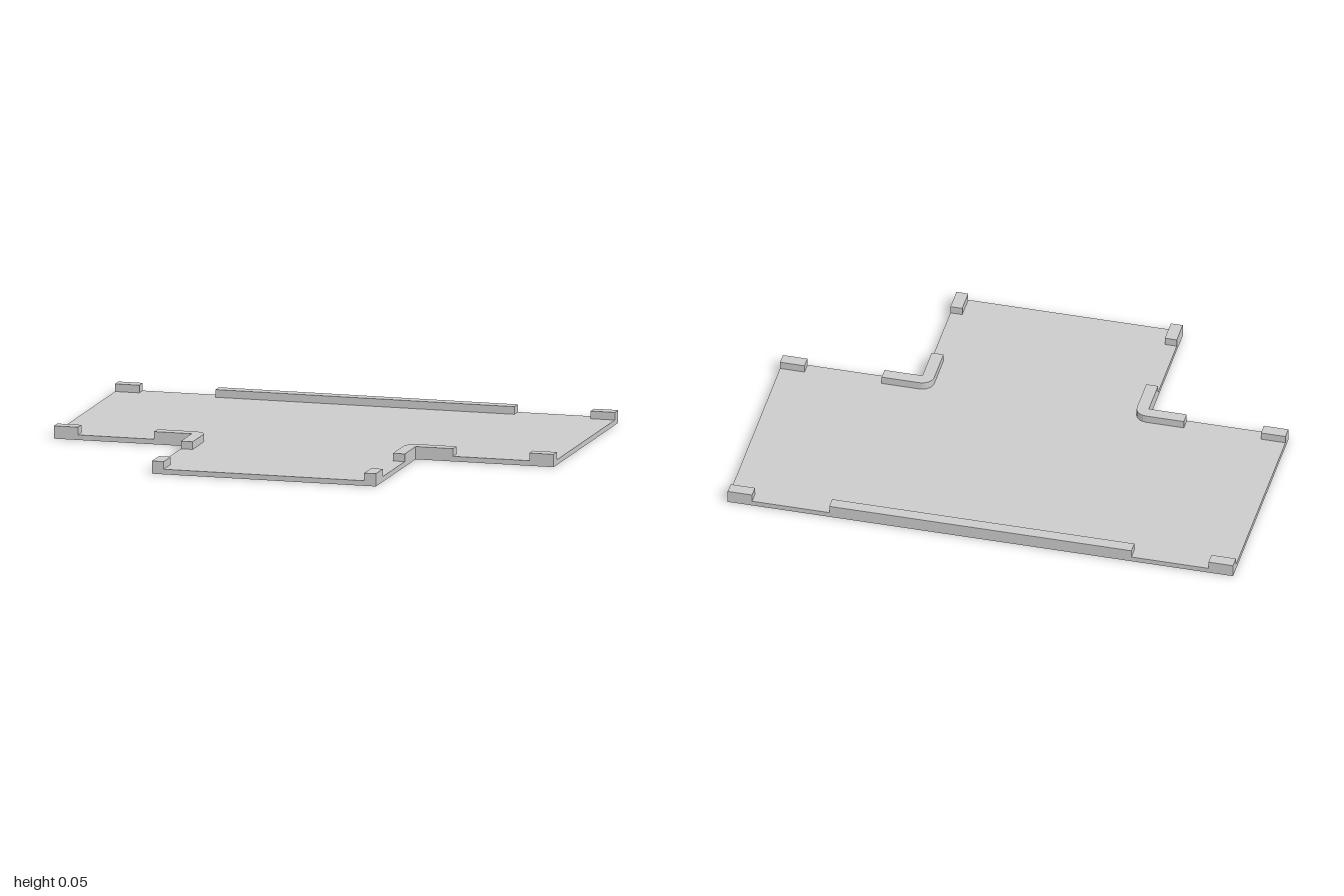
import * as THREE from 'three';

const T = 0.02, H = 0.05;        // plate thickness, rim height
const BACK = -0.723, FRONT = 0.723, STEP = 0.173; // depth limits and inner step
const STEM = 0.448;              // half width of the front arm
const W = 0.047, BLOCK = 0.097, LEG = 0.15; // rim width, end block and corner leg lengths

export function createModel() {
  const group = new THREE.Group();
  const material = new THREE.MeshStandardMaterial({ color: 0xcccccc, flatShading: true });

  const add = (name, geometry) => {
    const mesh = new THREE.Mesh(geometry, material);
    mesh.name = name;
    group.add(mesh);
  };

  // Extrudes an outline of [x, z] points between two heights
  const slab = (name, points, y0, y1) => {
    const shape = new THREE.Shape(points.map(([x, z]) => new THREE.Vector2(x, z)));
    const geometry = new THREE.ExtrudeGeometry(shape, { depth: y1 - y0, bevelEnabled: false });
    add(name, geometry.rotateX(Math.PI / 2).translate(0, y1, 0));
  };

  // Rim block standing on the plate
  const block = (name, x0, x1, z0, z1) => {
    const geometry = new THREE.BoxGeometry(Math.abs(x1 - x0), H - T, z1 - z0);
    add(name, geometry.translate((x0 + x1) / 2, (T + H) / 2, (z0 + z1) / 2));
  };

  // T-shaped floor plate
  slab('floorPlate', [
    [-1, BACK], [1, BACK], [1, STEP], [STEM, STEP],
    [STEM, FRONT], [-STEM, FRONT], [-STEM, STEP], [-1, STEP],
  ], 0, T);

  // Long rim on the back edge
  block('backRim', -0.598, 0.598, BACK, BACK + W);

  for (const s of [1, -1]) {
    const side = s > 0 ? 'left' : 'right';

    // Short blocks at the outer corners
    block(side + 'BackBlock', s * (1 - BLOCK), s, BACK, BACK + W);
    block(side + 'MiddleBlock', s * (1 - BLOCK), s, STEP - W, STEP);
    block(side + 'FrontBlock', s * (STEM - W), s * STEM, FRONT - BLOCK, FRONT);

    // L-shaped rim with a rounded bend at the inner corner
    const rim = [
      [s * STEM, STEP], [s * STEM, STEP + LEG], [s * (STEM - W), STEP + LEG],
    ];
    for (let i = 0; i <= 6; i++) {
      const a = (i / 6) * Math.PI / 2;
      rim.push([s * (STEM - W * Math.cos(a)), STEP - W * Math.sin(a)]);
    }
    rim.push([s * (STEM + LEG), STEP - W], [s * (STEM + LEG), STEP]);
    slab(side + 'CornerRim', rim, T, H);
  }
  return group;
}
